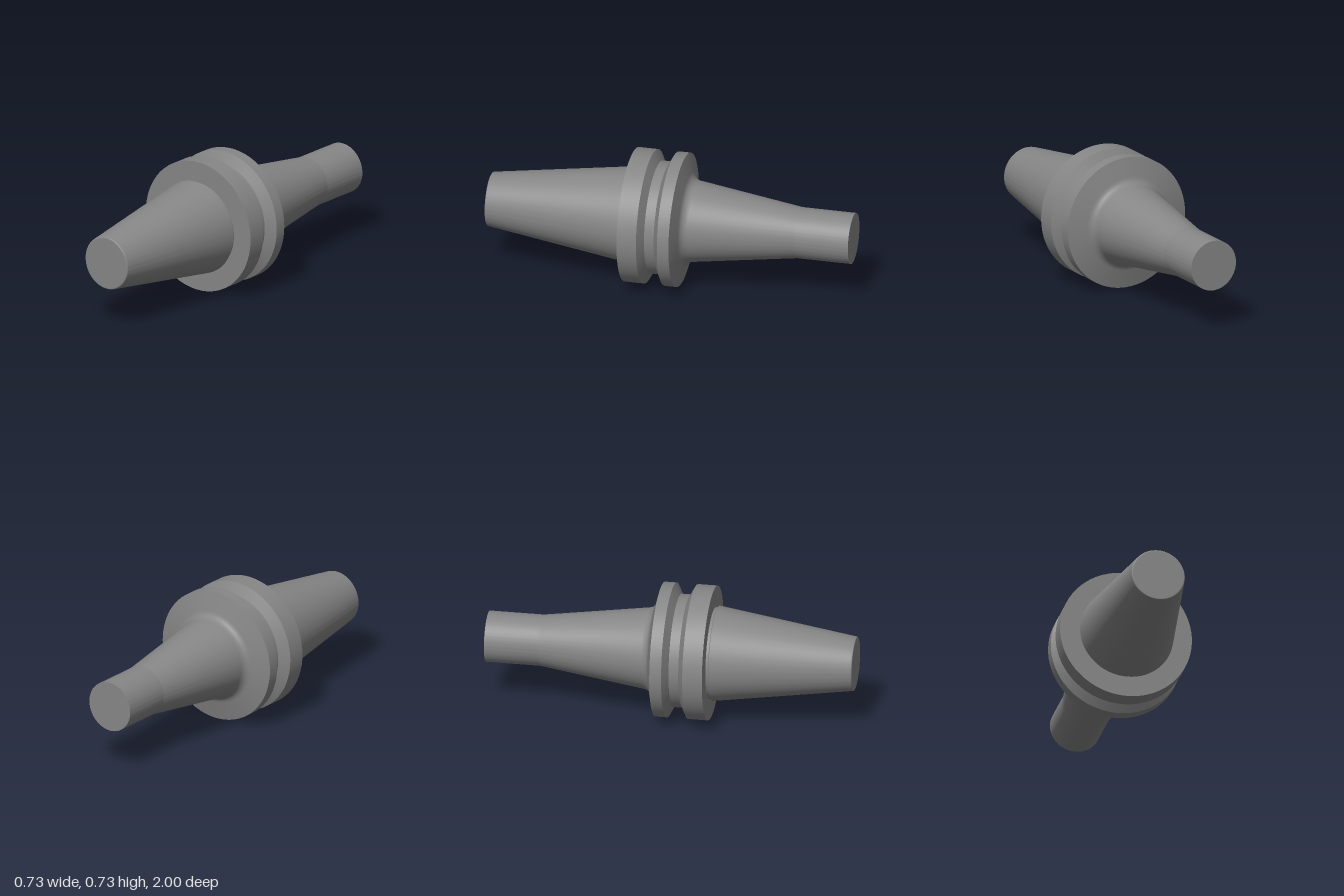
import * as THREE from 'three';
import { toCreasedNormals } from 'three/addons/utils/BufferGeometryUtils.js';

const AXIS_HEIGHT = 0.363;
const material = new THREE.MeshStandardMaterial({ color: 0x868686 });

// Rounded corner between two profile points, pulled towards the corner point
function rounded(start, corner, end) {
  const curve = new THREE.QuadraticBezierCurve(
    new THREE.Vector2(...start), new THREE.Vector2(...corner), new THREE.Vector2(...end)
  );
  return curve.getPoints(20).map((p) => [p.x, p.y]);
}

// Turns a profile of [radius, z] pairs, listed from back to front, about the z axis
function turned(name, profile) {
  const points = profile.map(([r, z]) => new THREE.Vector2(r, z));
  const geometry = new THREE.LatheGeometry(points, 128).rotateX(Math.PI / 2);
  const mesh = new THREE.Mesh(toCreasedNormals(geometry, 0.12), material);
  mesh.name = name;
  mesh.position.y = AXIS_HEIGHT;
  return mesh;
}

export function createModel() {
  const group = new THREE.Group();
  group.name = 'toolHolder';

  // Straight back end, slender cone and the fillet running out into the flange
  group.add(turned('nose', [
    [0, -1], [0.138, -1], [0.138, -0.705],
    ...rounded([0.219, -0.138], [0.224, -0.1], [0.258, -0.091]),
  ]));

  // Two rims with a bevelled gripper groove between them
  group.add(turned('flange', [
    [0.258, -0.091], [0.363, -0.064], [0.363, 0], [0.305, 0.031],
    [0.305, 0.084], [0.363, 0.115], [0.363, 0.222], [0.248, 0.222],
  ]));

  // Narrow relief neck, then the steep taper with a softly rounded tip
  group.add(turned('taperShank', [
    [0.248, 0.222], [0.248, 0.236], [0.257, 0.24], [0.1485, 0.983],
    ...rounded([0.147, 0.993], [0.146, 1], [0.139, 1]),
    [0.136, 1], [0, 1],
  ]));

  return group;
}
